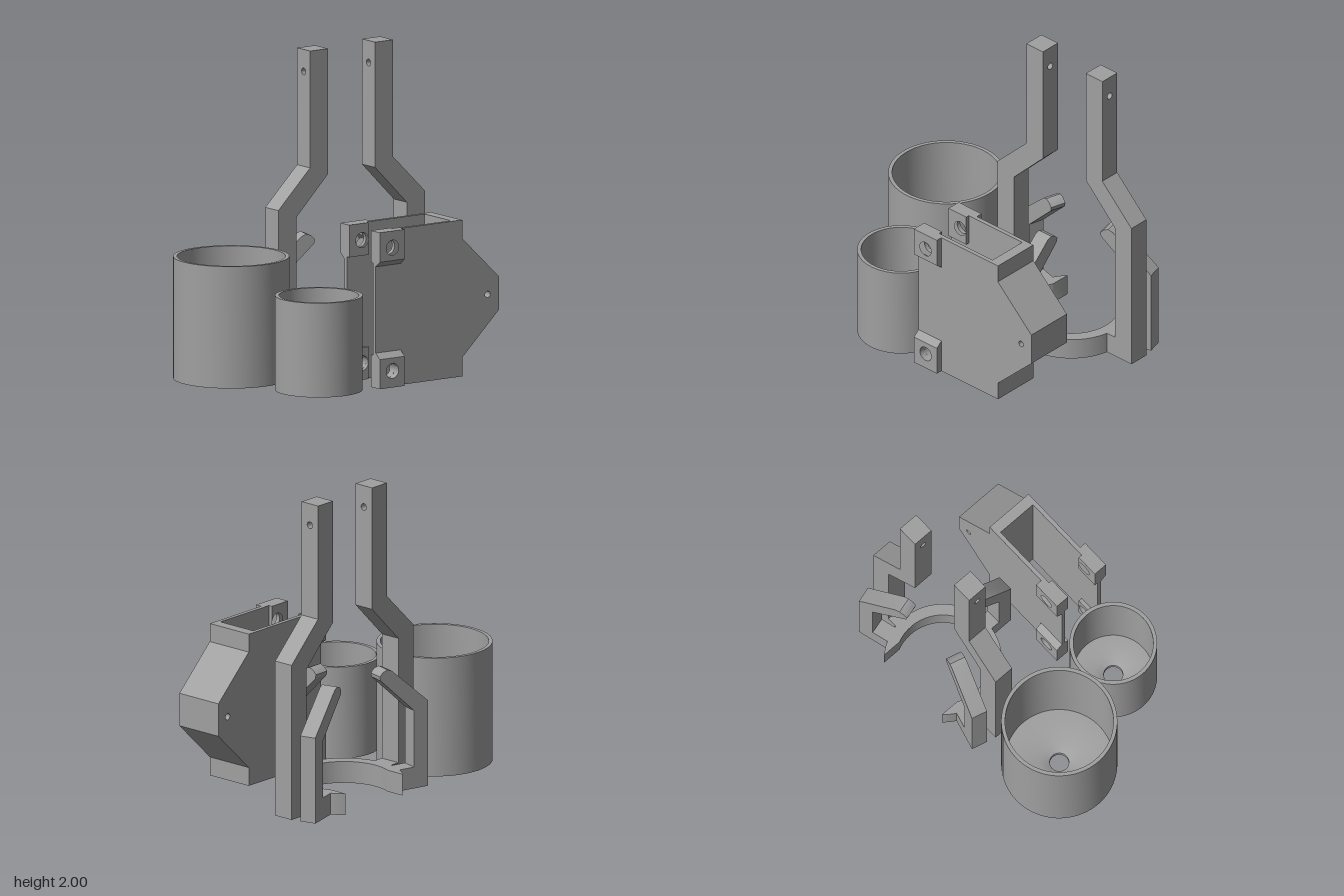
import * as THREE from 'three';
import { toCreasedNormals } from 'three/addons/utils/BufferGeometryUtils.js';

const CX = 0.378; // mirror axis of the cradle

export function createModel() {
  const grey = new THREE.MeshStandardMaterial({ color: 0xa0a0a0 });
  grey.name = 'plain grey';
  const model = new THREE.Group();
  model.name = 'partsSet';

  const group = (name) => {
    const g = new THREE.Group();
    g.name = name;
    model.add(g);
    return g;
  };
  const add = (parent, name, geo) => {
    const mesh = new THREE.Mesh(toCreasedNormals(geo, 0.5), grey);
    mesh.name = name;
    parent.add(mesh);
    return mesh;
  };
  const poly = (pts) => new THREE.Shape(pts.map(([x, y]) => new THREE.Vector2(x, y)));
  const rect = (x0, y0, x1, y1) => poly([[x0, y0], [x1, y0], [x1, y1], [x0, y1]]);
  const hole = (shape, x, y, r) => {
    shape.holes.push(new THREE.Path().absarc(x, y, r, 0, Math.PI * 2, true));
    return shape;
  };
  // extrude an (x, y) shape from z0 to z1
  const alongZ = (shape, z0, z1) =>
    new THREE.ExtrudeGeometry(shape, { depth: z1 - z0, bevelEnabled: false, curveSegments: 32 }).translate(0, 0, z0);
  // extrude a (z, y) shape from x0 to x1
  const alongX = (shape, x0, x1) =>
    new THREE.ExtrudeGeometry(shape, { depth: x1 - x0, bevelEnabled: false, curveSegments: 32 })
      .rotateY(-Math.PI / 2).translate(x1, 0, 0);

  // Open cups with a countersunk hole in the floor
  const cup = (name, x, z, r, wall, h) => {
    const pts = [[0.06, 0], [r, 0], [r, h], [r - wall, h], [r - wall, 0.06], [0.118, 0.06], [0.06, 0.03], [0.06, 0]]
      .map(([a, b]) => new THREE.Vector2(a, b));
    add(model, name, new THREE.LatheGeometry(pts, 80)).position.set(x, 0, z);
  };
  cup('largeCup', -0.587, -0.277, 0.363, 0.024, 0.775);
  cup('smallCup', -0.381, 0.365, 0.274, 0.024, 0.6);

  // Cradle: open ring, its ends cut parallel to z
  const cradle = group('cradle');
  const R = 0.368, r = 0.295, cut = 0.268;
  const ao = Math.acos(cut / R), ai = Math.acos(cut / r);
  const ring = new THREE.Shape();
  ring.absarc(0, 0, R, -ao, Math.PI + ao, false);
  ring.absarc(0, 0, r, Math.PI + ai, -ai, true);
  add(cradle, 'cradleRing',
    new THREE.ExtrudeGeometry(ring, { depth: 0.14, bevelEnabled: false, curveSegments: 64 })
      .rotateX(Math.PI / 2).translate(CX, 0.14, -0.384));

  // Cranked posts with a cross hole near the top
  const zBack = -0.455, zFront = -0.317;
  for (const [side, s] of [['left', 1], ['right', -1]]) {
    const mx = (x) => CX + s * x;
    const crank = [[0.429, 0], [0.569, 0], [0.569, 1.013], [0.322, 1.257], [0.182, 1.257], [0.182, 1.204], [0.429, 0.955]];
    add(cradle, side + 'PostLower', alongZ(poly(crank.map(([x, y]) => [mx(x), y])), zBack, zFront));
    const bar = hole(rect(zBack, 1.257, zFront, 2), -0.386, 1.86, 0.022);
    const [x0, x1] = [mx(0.182), mx(0.322)].sort((a, b) => a - b);
    add(cradle, side + 'PostUpper', alongX(bar, x0, x1));
    const link = new THREE.BoxGeometry(0.1, 0.14, zFront - zBack);
    add(cradle, side + 'PostLink', link).position.set(mx(0.38), 0.07, (zBack + zFront) / 2);
  }

  // Bent arms leaning in over the ring; local +z points outward
  const arm = (name, x, z, turn, foot, reach) => {
    const t = reach;
    const shape = poly([
      [foot, 0], [0.143, 0], [0.143, 0.56], [-0.107 - t, 0.8], [-0.139 - t, 0.812], [-0.171 - t, 0.8],
      [-0.195 - t, 0.775], [-0.19 - t, 0.748], [0.04, 0.51], [0.04, 0.14], [foot, 0.14],
    ]);
    const mesh = add(cradle, name, alongX(shape, -0.0525, 0.0525));
    mesh.position.set(x, 0, z);
    mesh.rotation.y = turn;
  };
  const turn = THREE.MathUtils.degToRad(105);
  arm('frontArm', CX, 0, 0, -0.05, 0);
  arm('leftRearArm', CX + 0.402, -0.528, turn, -0.1, 0.02);
  arm('rightRearArm', CX - 0.402, -0.528, -turn, -0.1, 0.02);

  // Bracket: solid pointed nose, two thin walls and four drilled ears
  const bracket = group('bracket');
  const top = 0.995, x0 = -0.07, mid = 0.378, nose = 0.532;
  const block = poly([[nose, 0], [0.603, 0], [0.603, 0.12], [0.887, 0.392], [0.887, 0.605], [0.603, 0.877], [0.603, top], [nose, top]]);
  add(bracket, 'bracketNose', alongZ(hole(block, 0.8, 0.5, 0.02), mid - 0.164, mid + 0.164));

  const hx = 0.029, hr = 0.048;
  for (const [side, s] of [['front', 1], ['back', -1]]) {
    const slab = (name, shape, a, b) => {
      const [z0, z1] = [mid + s * a, mid + s * b].sort((p, q) => p - q);
      add(bracket, side + name, alongZ(shape, z0, z1));
    };
    const wall = rect(x0, 0, nose, top);
    hole(wall, hx, 0.107, hr);
    hole(wall, hx, 0.89, hr);
    slab('Wall', wall, 0.137, 0.164);
    for (const [level, y] of [['Upper', (v) => top - v], ['Lower', (v) => v]]) {
      const hy = y(0.106);
      slab(level + 'Ear', hole(rect(x0, y(0), 0.124, y(0.188)), hx, hy, hr), 0.164, 0.207);
      slab(level + 'EarPad', hole(rect(x0, y(0), 0.08, y(0.205)), hx, hy, hr), 0.113, 0.137);
      // sloped edge of the ear
      const slope = poly([[mid + s * 0.164, y(0.188)], [mid + s * 0.207, y(0.188)], [mid + s * 0.164, y(0.223)]]);
      add(bracket, side + level + 'EarSlope', alongX(slope, x0, 0.124));
    }
  }
  return model;
}
